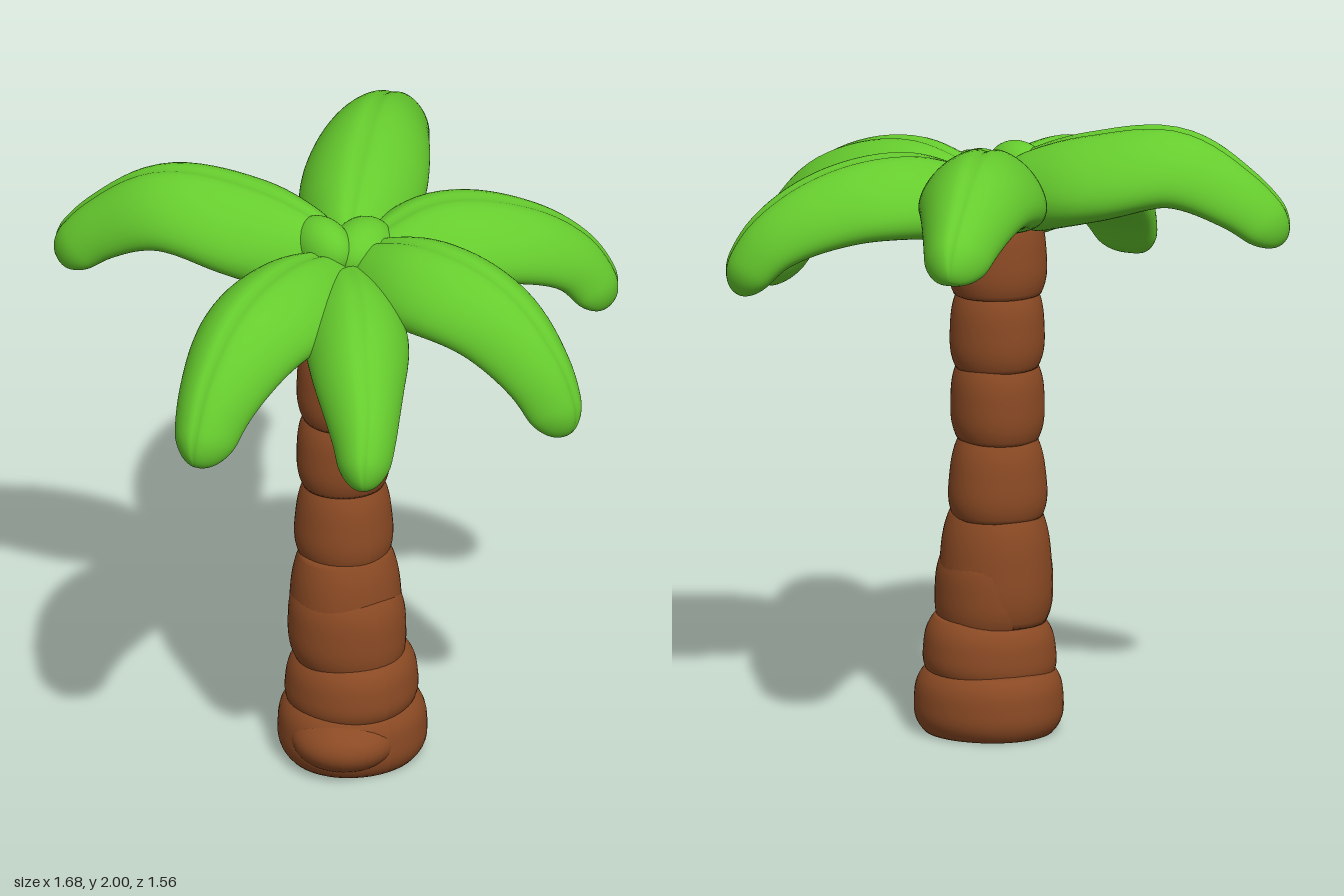
import * as THREE from 'three';

const leafGreen = new THREE.MeshStandardMaterial({ color: 0x66cc2e });
leafGreen.name = 'leaf green';
const barkBrown = new THREE.MeshStandardMaterial({ color: 0x8b4a24 });
barkBrown.name = 'bark brown';

const UP = new THREE.Vector3(0, 1, 0);

// Linear lookup through evenly spaced values
function sample(values, t) {
  const f = Math.min(t, 0.99999) * (values.length - 1);
  const i = Math.floor(f);
  return THREE.MathUtils.lerp(values[i], values[i + 1], f - i);
}

function smoothProfile(values) {
  const curve = new THREE.SplineCurve(values.map((v, i) => new THREE.Vector2(i, v)));
  return curve.getPoints(60).map((p) => p.y);
}

const widthProfile = smoothProfile([0.5, 0.74, 0.94, 1, 0.95, 0.84, 0.7, 0.56, 0.43]);
const heightProfile = smoothProfile([0.75, 0.92, 1, 1, 0.96, 0.9, 0.8, 0.7, 0.58]);

// Plump frond: domed on top with a fine midrib groove, nearly flat beneath, rounded at both ends
function frondGeometry(points, halfWidth, halfHeight) {
  const path = new THREE.CatmullRomCurve3(points.map((p) => new THREE.Vector3(...p)));
  const rows = 48, sides = 64, positions = [], index = [];
  for (let i = 0; i <= rows; i++) {
    const t = (1 - Math.cos((Math.PI * i) / rows)) / 2;
    const centre = path.getPointAt(t);
    const tangent = path.getTangentAt(t);
    const side = new THREE.Vector3().crossVectors(tangent, UP).normalize();
    const up = new THREE.Vector3().crossVectors(side, tangent);
    const start = Math.min(1, t / 0.12), end = Math.min(1, (1 - t) / 0.1);
    const round = Math.sqrt(1 - (1 - start) ** 2) * Math.sqrt(1 - (1 - end) ** 2);
    const w = halfWidth * sample(widthProfile, t) * round;
    const h = halfHeight * sample(heightProfile, t) * round;
    const depth = h * 0.75 + 0.18 * w + 0.05 * round * (1 - t) ** 3;
    for (let j = 0; j < sides; j++) {
      const a = (j / sides) * Math.PI * 2;
      const c = Math.cos(a), s = Math.sin(a);
      const groove = s > 0 ? 0.09 * Math.exp(-((c / 0.1) ** 2)) : 0;
      const lift = (s > 0 ? h * (s - groove) : depth * s) - 0.3 * w * c * c + 0.04 * w;
      const p = centre.clone().addScaledVector(side, c * w).addScaledVector(up, lift);
      positions.push(p.x, p.y, p.z);
      if (i < rows) {
        const k = (j + 1) % sides;
        const a0 = i * sides + j, b0 = i * sides + k;
        index.push(a0, a0 + sides, b0, b0, a0 + sides, b0 + sides);
      }
    }
  }
  const g = new THREE.BufferGeometry();
  g.setAttribute('position', new THREE.Float32BufferAttribute(positions, 3));
  g.setIndex(index);
  g.computeVertexNormals();
  return g;
}

// Trunk rings: bottom, top, radius low, radius high, centre x, centre z, tilt
const rings = [
  [0.0, 0.21, 0.242, 0.232, 0.005, -0.005, 0.0],
  [0.17, 0.37, 0.22, 0.2, 0.003, 0.003, 0.02],
  [0.33, 0.6, 0.19, 0.185, -0.01, -0.005, -0.04],
  [0.36, 0.72, 0.188, 0.168, -0.012, -0.018, 0.01],
  [0.7, 0.965, 0.167, 0.14, -0.008, -0.027, 0.0],
  [0.95, 1.2, 0.152, 0.146, -0.01, -0.025, 0.01],
  [1.185, 1.44, 0.155, 0.145, -0.012, -0.025, -0.01],
  [1.425, 1.7, 0.165, 0.145, -0.012, -0.02, 0.0],
];

function ringGeometry([y0, y1, r0, r1, cx, cz, tilt], n) {
  const h = y1 - y0, profile = [new THREE.Vector2(0, y0)];
  for (let i = 0; i <= 20; i++) {
    const u = i / 20;
    const bulge = 0.85 + 0.15 * (1 - Math.abs(2 * u - 1) ** 3);
    profile.push(new THREE.Vector2(THREE.MathUtils.lerp(r0, r1, u) * bulge, y0 + u * h));
  }
  profile.push(new THREE.Vector2(0, y1));
  const g = new THREE.LatheGeometry(profile, 48);
  const p = g.attributes.position;
  for (let i = 0; i < p.count; i++) {
    const x = p.getX(i), y = p.getY(i), z = p.getZ(i);
    const a = Math.atan2(z, x);
    const wobble = 1 + 0.015 * Math.sin(3 * a + n * 2.1);
    p.setXYZ(i, x * wobble + cx, y + tilt * (x + z) * 1.5, z * wobble + cz);
  }
  g.computeVertexNormals();
  return g;
}

// Spine points from crown to tip, half width, half height
const fronds = [
  ['backLeftFrond', [[0.0, 1.74, -0.02], [0.19, 1.83, -0.25], [0.39, 1.875, -0.47], [0.55, 1.81, -0.63], [0.68, 1.7, -0.75]], 0.2, 0.125],
  ['backRightFrond', [[-0.03, 1.74, -0.02], [-0.22, 1.83, -0.27], [-0.4, 1.865, -0.45], [-0.54, 1.77, -0.59], [-0.655, 1.63, -0.69]], 0.205, 0.125],
  ['rightFrond', [[-0.03, 1.69, 0.01], [-0.28, 1.73, 0.09], [-0.5, 1.7, 0.18], [-0.68, 1.57, 0.27], [-0.8, 1.38, 0.345]], 0.195, 0.115],
  ['frontRightFrond', [[-0.04, 1.68, 0.0], [-0.16, 1.68, 0.28], [-0.27, 1.62, 0.48], [-0.35, 1.5, 0.63], [-0.41, 1.35, 0.72]], 0.165, 0.115],
  ['frontLeftFrond', [[0.0, 1.7, 0.0], [0.12, 1.76, 0.28], [0.23, 1.7, 0.49], [0.3, 1.55, 0.65], [0.34, 1.35, 0.74]], 0.19, 0.12],
  ['leftFrond', [[0.02, 1.7, 0.02], [0.3, 1.78, 0.05], [0.52, 1.75, 0.13], [0.7, 1.65, 0.2], [0.805, 1.48, 0.26]], 0.21, 0.115],
];

export function createModel() {
  const model = new THREE.Group();
  model.name = 'palmTree';
  const add = (parent, name, geometry, material) => {
    const mesh = new THREE.Mesh(geometry, material);
    mesh.name = name;
    parent.add(mesh);
    return mesh;
  };
  const blob = (parent, name, material, pos, scale, rotY) => {
    const mesh = add(parent, name, new THREE.SphereGeometry(1, 32, 24), material);
    mesh.position.set(...pos);
    mesh.scale.set(...scale);
    mesh.rotation.y = rotY;
  };

  // Trunk of stacked, slightly uneven rings
  const trunk = new THREE.Group();
  trunk.name = 'trunk';
  model.add(trunk);
  rings.forEach((r, i) => add(trunk, `trunkRing${i + 1}`, ringGeometry(r, i), barkBrown));
  blob(trunk, 'rootLump', barkBrown, [-0.075, 0.105, 0.08], [0.17, 0.1, 0.17], -0.2);

  // Crown of drooping fronds
  const crown = new THREE.Group();
  crown.name = 'crown';
  model.add(crown);
  for (const [name, points, w, h] of fronds) add(crown, name, frondGeometry(points, w, h), leafGreen);

  // Young buds at the centre
  blob(crown, 'smallBud', leafGreen, [-0.09, 1.81, -0.025], [0.08, 0.095, 0.12], 0.1);
  blob(crown, 'largeBud', leafGreen, [0.03, 1.785, 0.02], [0.13, 0.1, 0.1], 0.6);
  return model;
}
